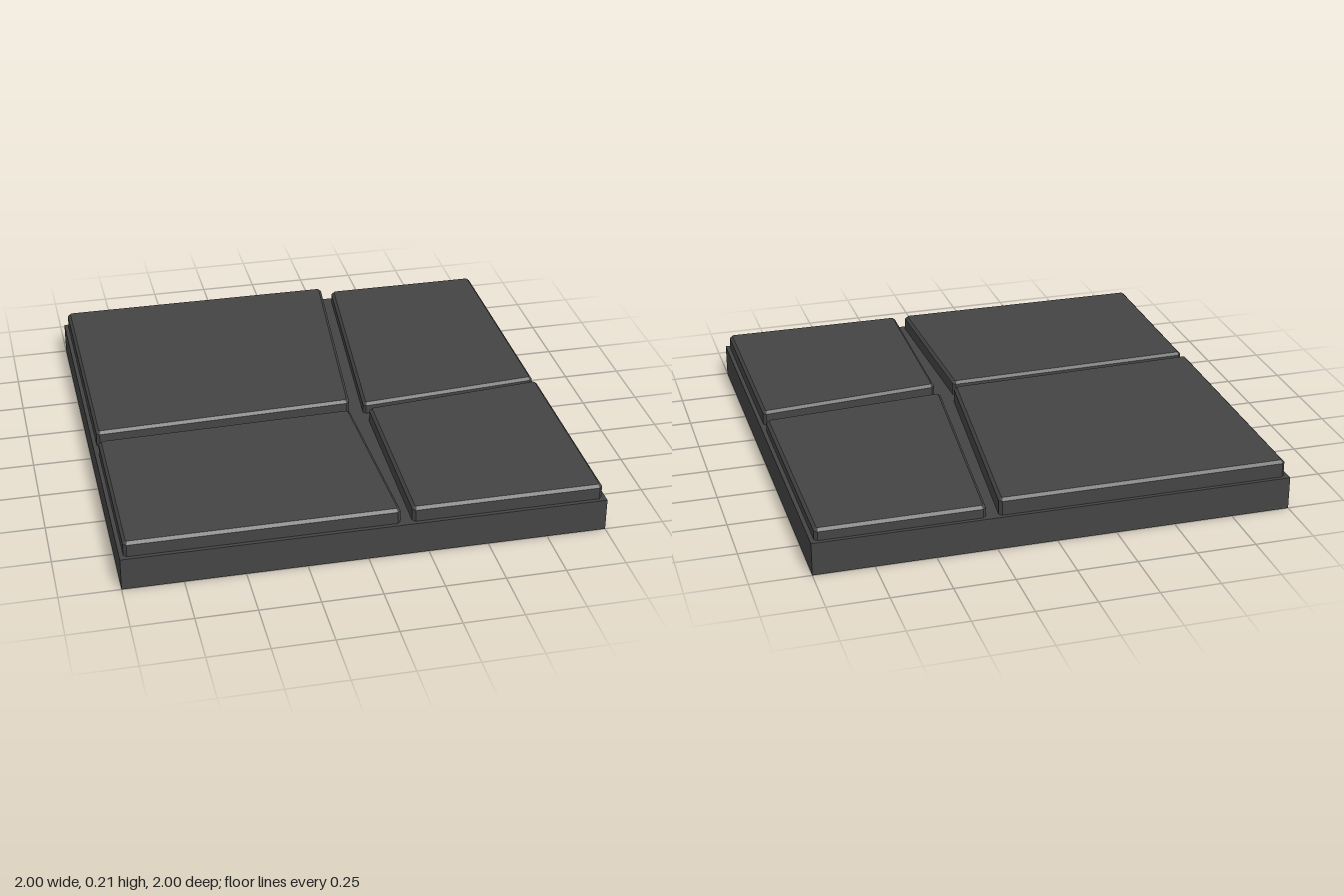
import * as THREE from 'three';

const stone = new THREE.MeshStandardMaterial({ color: 0x444444 });
stone.name = 'darkStone';

const BASE_TOP = 0.14;
const BEVEL = 0.012;

// Outline with each corner cut off by a small chamfer
function chamferedShape(corners, cut) {
  const pts = corners.map(([x, z]) => new THREE.Vector2(x, -z));
  const out = [];
  pts.forEach((p, i) => {
    const prev = pts[(i + pts.length - 1) % pts.length];
    const next = pts[(i + 1) % pts.length];
    for (const q of [prev, next]) {
      out.push(p.clone().add(q.clone().sub(p).setLength(cut)));
    }
  });
  return new THREE.Shape(out);
}

// Paving slab with bevelled top edges, its lower bevel sunk into the base
function makeSlab(name, corners, top) {
  const bottom = BASE_TOP - 0.03;
  const geometry = new THREE.ExtrudeGeometry(chamferedShape(corners, 0.013), {
    depth: top - bottom - 2 * BEVEL,
    bevelEnabled: true,
    bevelThickness: BEVEL,
    bevelSize: BEVEL,
    bevelOffset: -BEVEL,
    bevelSegments: 1,
  });
  geometry.rotateX(-Math.PI / 2);
  geometry.translate(0, bottom + BEVEL, 0);
  const slab = new THREE.Mesh(geometry, stone);
  slab.name = name;
  return slab;
}

export function createModel() {
  const model = new THREE.Group();
  model.name = 'pavedFloorTile';

  // Square base
  const base = new THREE.Mesh(new THREE.BoxGeometry(2, BASE_TOP, 2), stone);
  base.name = 'base';
  base.position.y = BASE_TOP / 2;
  model.add(base);

  // Four uneven slabs: corners as [x, z], then top height
  const e = 0.983;
  const slabs = [
    ['backRightSlab', [[-e, 0.143], [0.128, 0.108], [0.24, -e], [-e, -e]], 0.213],
    ['frontRightSlab', [[-e, e], [0.135, e], [0.114, 0.164], [-e, 0.193]], 0.205],
    ['frontLeftSlab', [[0.183, e], [e, e], [e, 0.09], [0.2, 0.165]], 0.204],
    ['backLeftSlab', [[0.19, 0.11], [e, 0.045], [e, -e], [0.292, -e]], 0.19],
  ];
  for (const [name, corners, top] of slabs) model.add(makeSlab(name, corners, top));

  return model;
}
